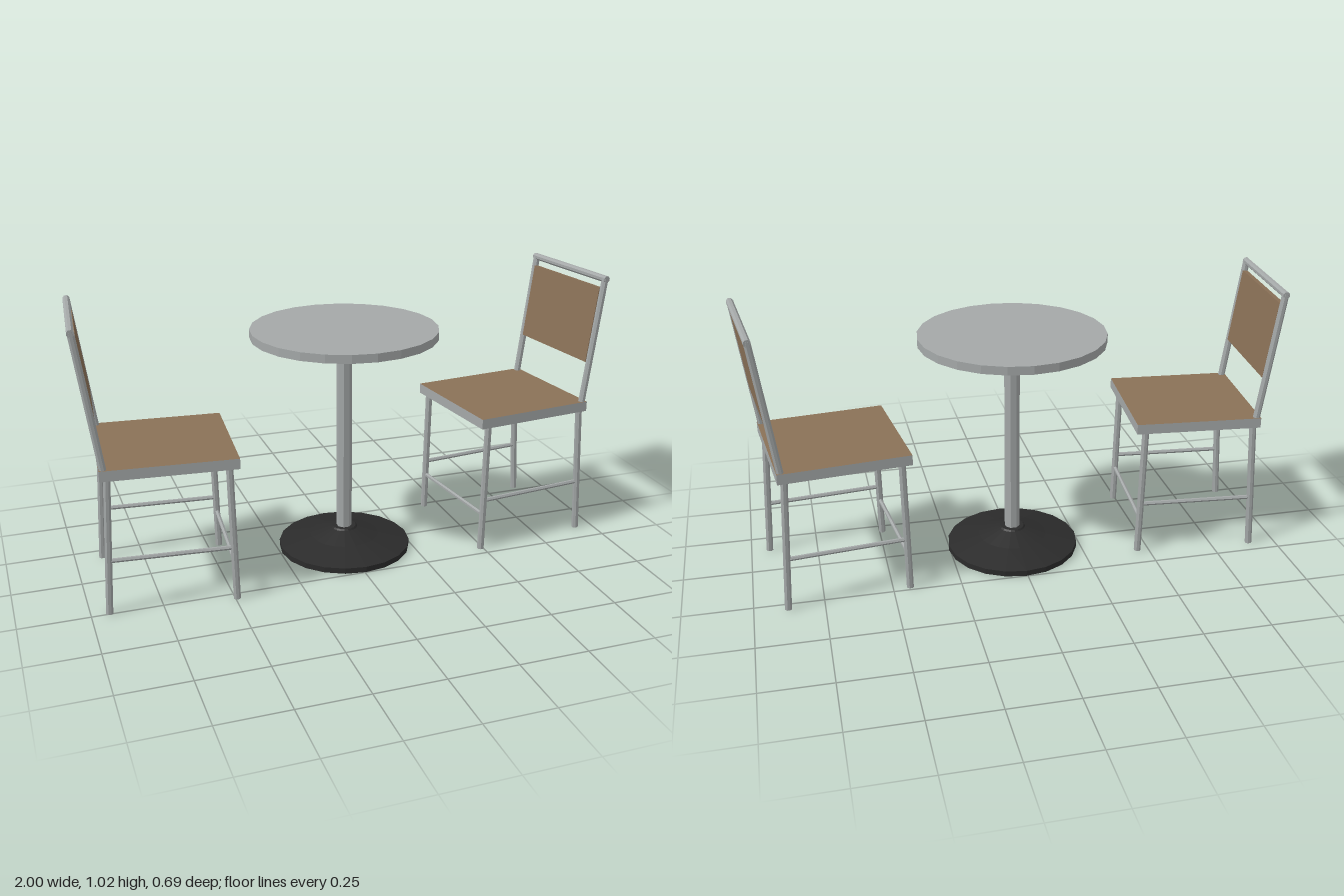
import * as THREE from 'three';

const metal = new THREE.MeshStandardMaterial({ color: 0xa4a8a8, flatShading: true, name: 'grey metal' });
const wood = new THREE.MeshStandardMaterial({ color: 0x8a7157, name: 'brown wood' });
const iron = new THREE.MeshStandardMaterial({ color: 0x2b2b2b, flatShading: true, side: THREE.DoubleSide, name: 'black iron' });

function add(parent, name, geometry, material) {
  const mesh = new THREE.Mesh(geometry, material);
  mesh.name = name;
  parent.add(mesh);
  return mesh;
}

// Straight bar between two points
function bar(parent, name, a, b, radius, sides = 8) {
  const from = new THREE.Vector3(...a), to = new THREE.Vector3(...b);
  const dir = to.clone().sub(from);
  const geometry = new THREE.CylinderGeometry(radius, radius, dir.length(), sides);
  geometry.rotateY(Math.PI / sides);
  const mesh = add(parent, name, geometry, metal);
  mesh.position.copy(from).add(to).multiplyScalar(0.5);
  mesh.quaternion.setFromUnitVectors(new THREE.Vector3(0, 1, 0), dir.normalize());
}

// Chair facing its own +z
function createChair(name) {
  const chair = new THREE.Group();
  chair.name = name;
  const W = 0.22, R = 0.013;

  // Seat: metal edge and underside, wooden top face
  const seat = add(chair, 'seat', new THREE.BoxGeometry(0.47, 0.038, 0.47),
    [metal, metal, wood, metal, metal, metal]);
  seat.position.y = 0.516;

  for (const s of [-1, 1]) {
    const x = s * W;
    bar(chair, 'frontLeg', [x, 0, 0.211], [x, 0.5, 0.2], R);
    bar(chair, 'rearLeg', [x, 0, -0.234], [x, 0.5, -0.21], R);
    bar(chair, 'backUpright', [x, 0.52, -0.219], [x, 1.012, -0.288], R);
    bar(chair, 'sideStretcher', [x, 0.2, -0.225], [x, 0.2, 0.207], 0.008, 6);
  }
  bar(chair, 'frontStretcher', [-W, 0.142, 0.208], [W, 0.142, 0.208], 0.008, 6);
  bar(chair, 'topRail', [-W - 0.011, 1.007, -0.288], [W + 0.011, 1.007, -0.288], R);

  // Backrest panel, leaning with the uprights
  const panel = add(chair, 'backrest', new THREE.BoxGeometry(0.42, 0.288, 0.02), wood);
  panel.position.set(0, 0.829, -0.262);
  panel.rotation.x = -Math.atan2(0.069, 0.492);
  return chair;
}

function createTable() {
  const table = new THREE.Group();
  table.name = 'table';
  const top = add(table, 'tableTop', new THREE.CylinderGeometry(0.345, 0.345, 0.031, 24), metal);
  top.position.y = 0.855;

  // Hollow column, open at the foot
  const tube = metal.clone();
  tube.side = THREE.DoubleSide;
  const column = new THREE.CylinderGeometry(0.029, 0.029, 0.775, 8, 1, true);
  column.rotateY(Math.PI / 8);
  add(table, 'column', column, tube).position.y = 0.4575;

  // Hollow cast foot
  const profile = [[0.25, 0], [0.25, 0.021], [0.13, 0.05], [0.05, 0.077], [0.045, 0.083], [0.027, 0.083]]
    .map(([r, y]) => new THREE.Vector2(r, y));
  add(table, 'base', new THREE.LatheGeometry(profile, 20), iron);
  return table;
}

export function createModel() {
  const model = new THREE.Group();
  model.name = 'bistroSet';
  const table = createTable();
  table.position.x = 0.005;

  const leftChair = createChair('leftChair');
  leftChair.position.set(0.673, 0, -0.036);
  leftChair.rotation.y = Math.atan2(-0.993, 0.117);

  const rightChair = createChair('rightChair');
  rightChair.position.set(-0.685, 0, 0.046);
  rightChair.rotation.y = Math.atan2(0.996, 0.085);

  model.add(table, leftChair, rightChair);
  return model;
}
